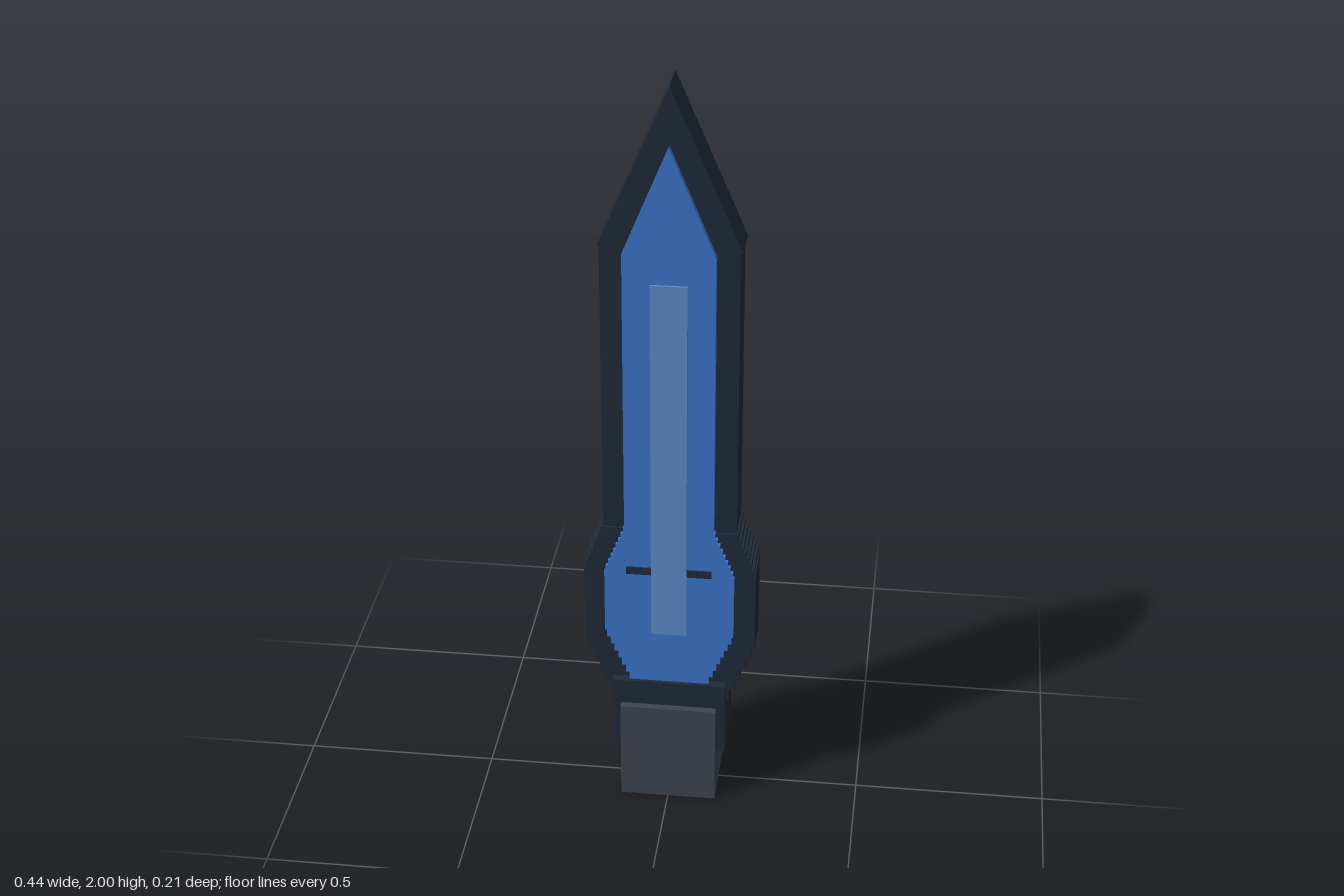
import * as THREE from 'three';

const mat = (name, color) => {
  const m = new THREE.MeshStandardMaterial({ color });
  m.name = name;
  return m;
};

export function createModel() {
  const group = new THREE.Group();
  const navy = mat('dark navy', 0x1f2b38);
  const slate = mat('slate grey', 0x3c4550);
  const blue = mat('blue', 0x3a73cb);
  const pale = mat('pale blue', 0x5b8dc9);

  const add = (name, geometry, material) => {
    const mesh = new THREE.Mesh(geometry, material);
    mesh.name = name;
    group.add(mesh);
    return mesh;
  };

  // Box given by half width, bottom, top and half depth
  const box = (name, hw, y0, y1, hd, material) =>
    add(name, new THREE.BoxGeometry(hw * 2, y1 - y0, hd * 2).translate(0, (y0 + y1) / 2, 0), material);

  // Symmetric slab: the right-hand outline [x, y], bottom to top, is mirrored
  const slab = (name, half, hd, material) => {
    const left = half.filter(([x]) => x > 0).map(([x, y]) => [-x, y]).reverse();
    const shape = new THREE.Shape([...half, ...left].map(([x, y]) => new THREE.Vector2(x, y)));
    const geo = new THREE.ExtrudeGeometry(shape, { depth: hd * 2, bevelEnabled: false });
    return add(name, geo.translate(0, 0, -hd), material);
  };

  // Stair-stepped edge between two outline points
  const steps = (x0, y0, x1, y1, n) => {
    const out = [];
    for (let i = 0; i < n; i++) {
      const x = x0 + ((x1 - x0) * (i + 0.5)) / n;
      out.push([x, y0 + ((y1 - y0) * i) / n], [x, y0 + ((y1 - y0) * (i + 1)) / n]);
    }
    return out;
  };

  // Dark blade and its wider, stepped base
  slab('blade', [[0.172, 0.7], [0.172, 1.585], [0.178, 1.585], [0, 2]], 0.057, navy);
  slab('bladeBase', [
    ...steps(0.15, 0.295, 0.22, 0.455, 5),
    [0.222, 0.455], [0.222, 0.685],
    ...steps(0.222, 0.685, 0.174, 0.805, 7),
  ], 0.063, navy);

  // Blue inlay standing out on both faces
  slab('inlay', [
    [0.1, 0.34],
    ...steps(0.1, 0.35, 0.168, 0.5, 7),
    [0.168, 0.5], [0.168, 0.68],
    ...steps(0.168, 0.68, 0.115, 0.81, 8),
    [0.115, 0.81], [0.115, 1.575], [0, 1.855],
  ], 0.075, blue);

  // Pale strip and dark cross mark on both faces
  box('centreStrip', 0.046, 0.5, 1.5, 0.081, pale);
  box('crossMark', 0.11, 0.678, 0.698, 0.0795, navy);

  // Collar and grip
  box('collar', 0.15, 0.145, 0.35, 0.085, navy);
  box('grip', 0.126, 0, 0.28, 0.105, slate);

  return group;
}
